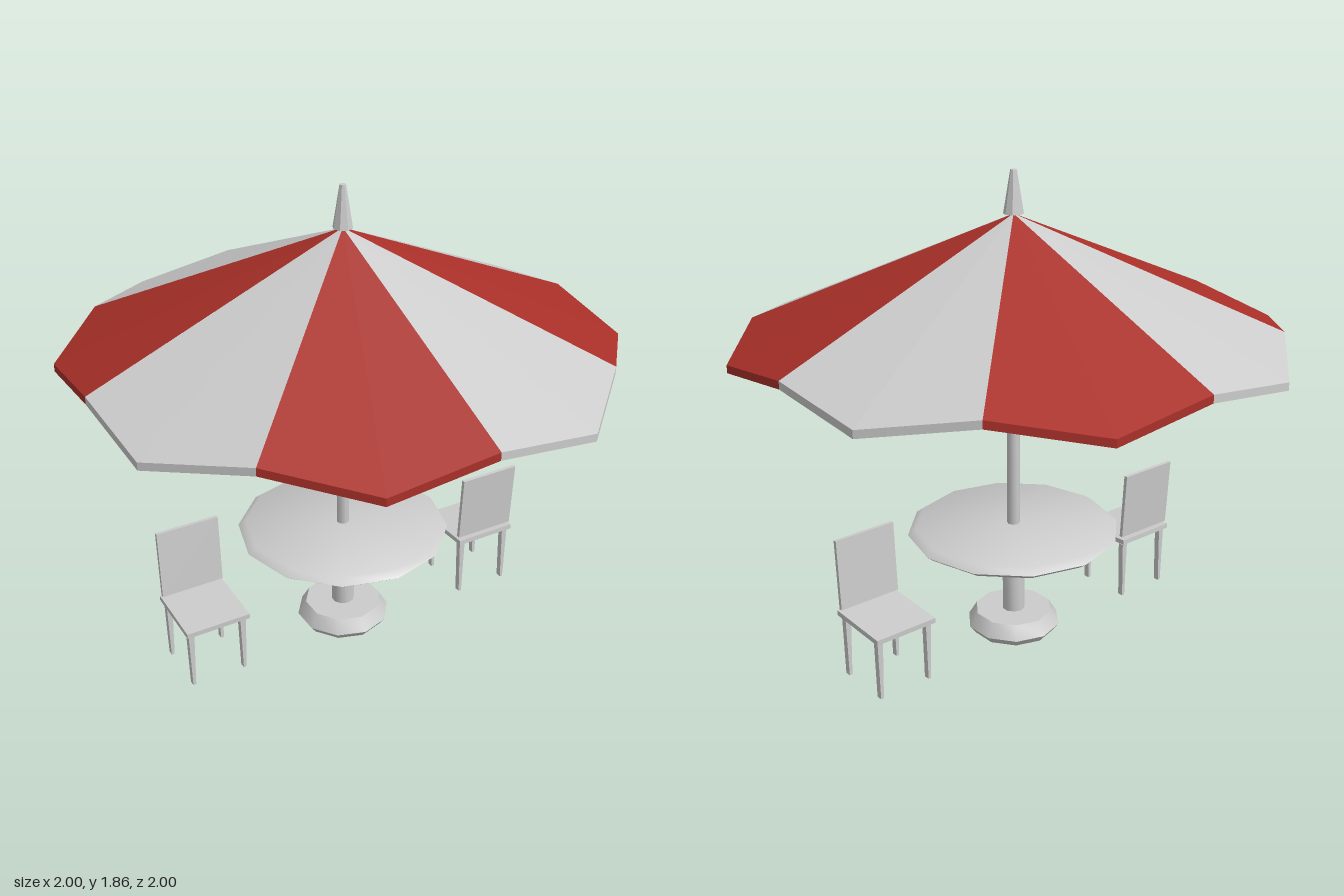
import * as THREE from 'three';
import { toCreasedNormals } from 'three/addons/utils/BufferGeometryUtils.js';

const grey = new THREE.MeshStandardMaterial({ color: 0xcccccc, side: THREE.DoubleSide });
const red = new THREE.MeshStandardMaterial({ color: 0xaa3029, side: THREE.DoubleSide });

function add(parent, name, geometry, material = grey) {
  const mesh = new THREE.Mesh(geometry, material);
  mesh.name = name;
  parent.add(mesh);
  return mesh;
}

// Solid of revolution from [radius, y] pairs, few sides, softened shading
function turned(profile, sides, crease = 0.7) {
  const points = profile.map(([r, y]) => new THREE.Vector2(r, y));
  return toCreasedNormals(new THREE.LatheGeometry(points, sides), crease);
}

// One canopy panel spanning 45 degrees, its middle corner drooping
function panelGeometry(start) {
  const thick = 0.03;
  const rim = [[1, 1.28], [1.06, 1.225], [1, 1.28]].map(([r, y], i) => {
    const a = start + i * Math.PI / 8;
    return new THREE.Vector3(r * Math.cos(a), y, r * Math.sin(a));
  });
  const lower = (p) => new THREE.Vector3(p.x, p.y - thick, p.z);
  const apex = new THREE.Vector3(0, 1.7, 0);
  const corners = [];
  for (let i = 0; i < 2; i++) {
    const A = rim[i], B = rim[i + 1], a = lower(A), b = lower(B);
    corners.push(apex, B, A, lower(apex), a, b, b, a, A, b, A, B);
  }
  const geometry = new THREE.BufferGeometry().setFromPoints(corners);
  geometry.computeVertexNormals();
  return geometry;
}

// Chair centred on its own origin, back rest toward +z
function makeChair(name) {
  const chair = new THREE.Group();
  chair.name = name;

  const seat = add(chair, 'seat', new THREE.BoxGeometry(0.26, 0.02, 0.265));
  seat.position.y = 0.262;
  seat.rotation.x = -0.04;

  const back = add(chair, 'backRest', new THREE.BoxGeometry(0.255, 0.28, 0.015));
  back.position.set(0, 0.427, 0.121);
  back.rotation.x = 0.06;

  // Legs narrow toward the floor
  for (const sx of [-1, 1]) {
    for (const sz of [-1, 1]) {
      const geometry = new THREE.BoxGeometry(0.024, 0.24, 0.024);
      const p = geometry.attributes.position;
      for (let i = 0; i < p.count; i++) {
        if (p.getY(i) < 0) p.setX(i, p.getX(i) * 0.5);
      }
      geometry.computeVertexNormals();
      add(chair, 'leg', geometry).position.set(sx * 0.108, 0.128, sz * 0.106);
    }
  }
  return chair;
}

export function createModel() {
  const model = new THREE.Group();
  model.name = 'parasolTableSet';

  // Foot, post, table top and pole
  add(model, 'base', turned([[0, 0], [0.165, 0], [0.188, 0.03], [0.155, 0.085], [0, 0.085]], 10));
  add(model, 'post', turned([[0, 0.08], [0.045, 0.08], [0.045, 0.415], [0, 0.415]], 10));
  add(model, 'tableTop',
    turned([[0, 0.418], [0.39, 0.418], [0.42, 0.44], [0.39, 0.463], [0, 0.463]], 12));
  add(model, 'pole', turned([[0, 0.44], [0.025, 0.44], [0.025, 1.54], [0, 1.54]], 8, 0.9));

  // Striped canopy with finial
  const canopy = new THREE.Group();
  canopy.name = 'canopy';
  for (let i = 0; i < 8; i++) {
    add(canopy, 'canopyPanel', panelGeometry(i * Math.PI / 4), i % 2 ? grey : red);
  }
  model.add(canopy);
  add(model, 'finial', turned([[0, 1.7], [0.038, 1.7], [0.012, 1.86], [0, 1.86]], 8));

  // Two chairs facing opposite ways
  const left = makeChair('leftChair');
  left.position.x = 0.617;
  const right = makeChair('rightChair');
  right.position.x = -0.617;
  right.rotation.y = Math.PI;
  model.add(left, right);

  return model;
}
